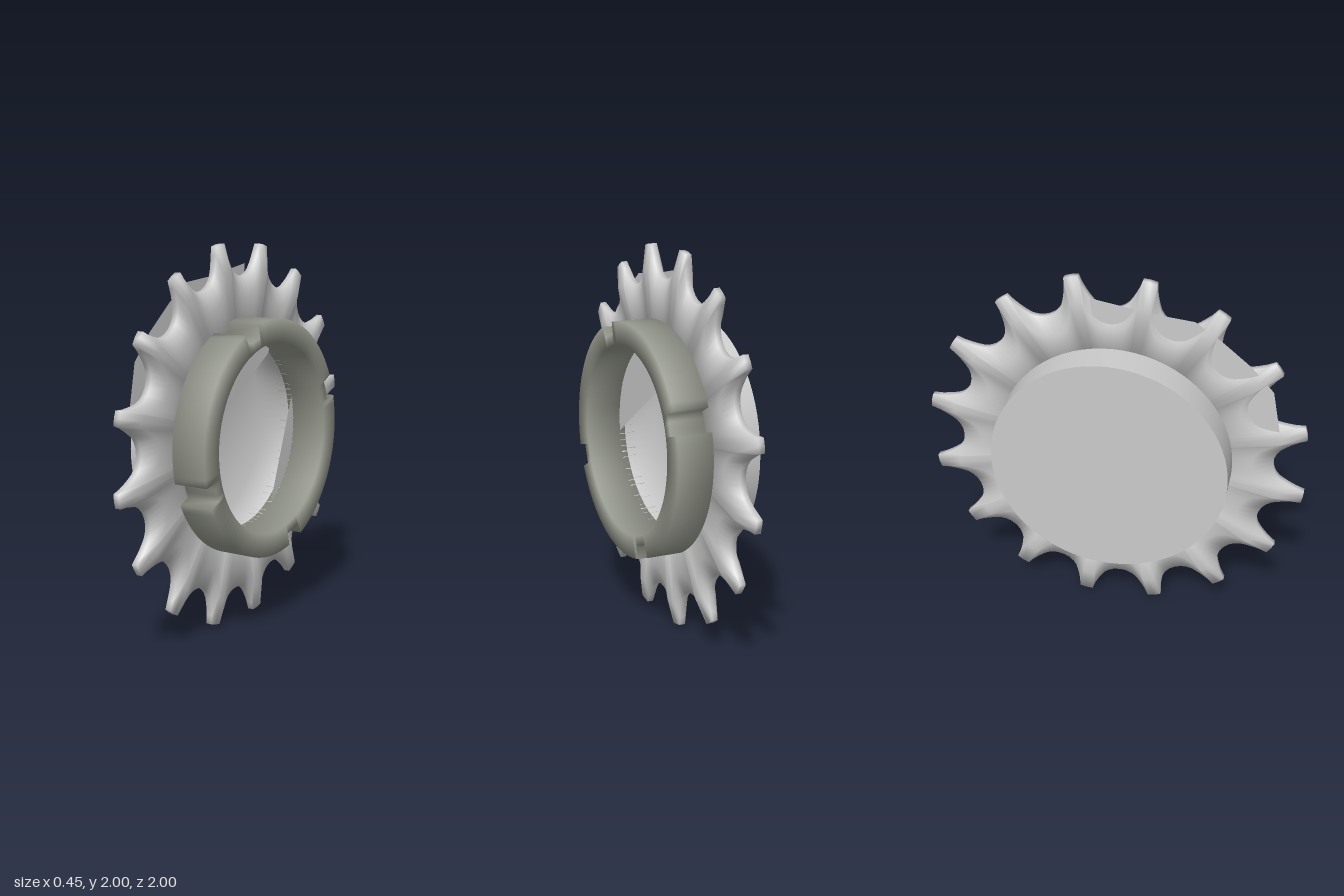
import * as THREE from 'three';
import { toCreasedNormals } from 'three/addons/utils/BufferGeometryUtils.js';

const TEETH = 16;
const HOLE = 0.5;
const END = 0.226; // half length along the axle
const RAD = Math.PI / 180;
const SOFT = 1.7; // crease angle that also rounds off right-angled edges

const grey = (side = THREE.FrontSide) => new THREE.MeshStandardMaterial({ color: 0xcccccc, side });
const polar = (degrees, r) => new THREE.Vector2(Math.cos(degrees * RAD) * r, Math.sin(degrees * RAD) * r);

// Sweeps a closed cross-section round an outline of [angle, radius] points.
// Each section entry is [radius as a function of the outline radius, z].
function sweep(outline, section) {
  const n = outline.length;
  const positions = [];
  const index = [];
  section.forEach(([radius, z], k) => {
    const next = (k + 1) % section.length;
    outline.forEach(([a, r], i) => {
      const j = (i + 1) % n;
      positions.push(Math.cos(a) * radius(r), Math.sin(a) * radius(r), z);
      index.push(k * n + i, next * n + i, next * n + j, k * n + i, next * n + j, k * n + j);
    });
  });
  const geometry = new THREE.BufferGeometry();
  geometry.setAttribute('position', new THREE.Float32BufferAttribute(positions, 3));
  geometry.setIndex(index);
  return toCreasedNormals(geometry, SOFT);
}

// Half a tooth: [angle from tooth centre, radius], tip to valley
const HALF_TOOTH = [[0, 1.012], [0.036, 1.01], [0.046, 0.965], [0.06, 0.93], [0.075, 0.9],
  [0.095, 0.87], [0.12, 0.85], [0.155, 0.835], [Math.PI / TEETH, 0.83]];

// Toothed plate, tapering in thickness towards its rim
function toothedPlate() {
  const mirrored = HALF_TOOTH.slice(1, -1).reverse().map(([a, r]) => [-a, r]);
  const outline = [];
  for (let t = 0; t < TEETH; t++) {
    const centre = 9.7 * RAD + (t * 2 * Math.PI) / TEETH;
    for (const [a, r] of [...mirrored, ...HALF_TOOTH]) outline.push([centre + a, r]);
  }
  const mid = -0.01, half = 0.044, rim = 0.016;
  return sweep(outline, [
    [() => HOLE, mid + half], [(r) => r * 0.87, mid + half], [(r) => r, mid + rim],
    [(r) => r, mid - rim], [(r) => r * 0.87, mid - half], [() => HOLE, mid - half],
  ]);
}

// Ring with four notches cut into its outer edge
function notchedRing() {
  const outer = 0.622, floor = 0.553, half = 0.1, steps = 20;
  const outline = [];
  for (let k = 0; k < 4; k++) {
    const a = (20 + 90 * k) * RAD;
    for (const t of [-1, -0.33, 0.33, 1]) outline.push([a + t * (half - 0.004), floor]);
    for (let s = 0; s <= steps; s++) {
      outline.push([a + half + (s / steps) * (Math.PI / 2 - 2 * half), outer]);
    }
  }
  return sweep(outline, [[() => HOLE, END], [(r) => r, END], [(r) => r, 0], [() => HOLE, 0]]);
}

// Surface of revolution round the z axis from [radius, z] points
function turned(points) {
  const geometry = new THREE.LatheGeometry(points.map(([r, z]) => new THREE.Vector2(r, z)), 72);
  return geometry.rotateX(Math.PI / 2);
}

// Flat web across part of the hole, bounded by the given points and an arc
function holeWeb(points, from, to) {
  const shape = new THREE.Shape(points);
  shape.absarc(0, 0, HOLE, from * RAD, to * RAD, false);
  return new THREE.ShapeGeometry(shape, 24);
}

// Flat web behind the upper valleys
function rimWeb() {
  const outer = [[82, 0.9], [103, 0.86], [116, 0.91], [126, 0.9], [139, 0.91], [150, 0.93], [166, 0.88]];
  const points = outer.map(([a, r]) => polar(a, r));
  const inner = outer.map(([a]) => polar(a, 0.6)).reverse();
  return new THREE.ShapeGeometry(new THREE.Shape([...points, ...inner]));
}

export function createModel() {
  const model = new THREE.Group();
  model.name = 'sprocket';

  // Parts are built round the z axis, then turned so the axle lies along x
  const wheel = new THREE.Group();
  wheel.name = 'wheel';
  wheel.rotation.y = Math.PI / 2;
  wheel.position.y = 1;
  model.add(wheel);

  const add = (name, geometry, material, z = 0) => {
    const mesh = new THREE.Mesh(geometry, material);
    mesh.name = name;
    mesh.position.z = z;
    wheel.add(mesh);
  };

  add('toothedPlate', toothedPlate(), grey());
  add('notchedRing', notchedRing(), new THREE.MeshStandardMaterial({ color: 0x979a8f }));

  // Hub: crisp closed shell outside, softly shaded hollow inside
  const shell = turned([[0, -END], [0.622, -END], [0.622, -0.02]]);
  add('hubShell', toCreasedNormals(shell, 0.6), grey());
  add('hubHollow', turned([[HOLE, 0], [HOLE, -0.19], [0, -0.19]]), grey());

  const thin = grey(THREE.DoubleSide);
  add('upperHoleWeb', holeWeb([polar(188, HOLE), new THREE.Vector2(0.24, 0.41)], 60, 188), thin, 0.03);
  add('sideHoleWeb', holeWeb([new THREE.Vector2(0.41, 0.23)], -57, 17), thin, 0.03);
  add('rimWeb', rimWeb(), thin, -0.045);
  return model;
}
